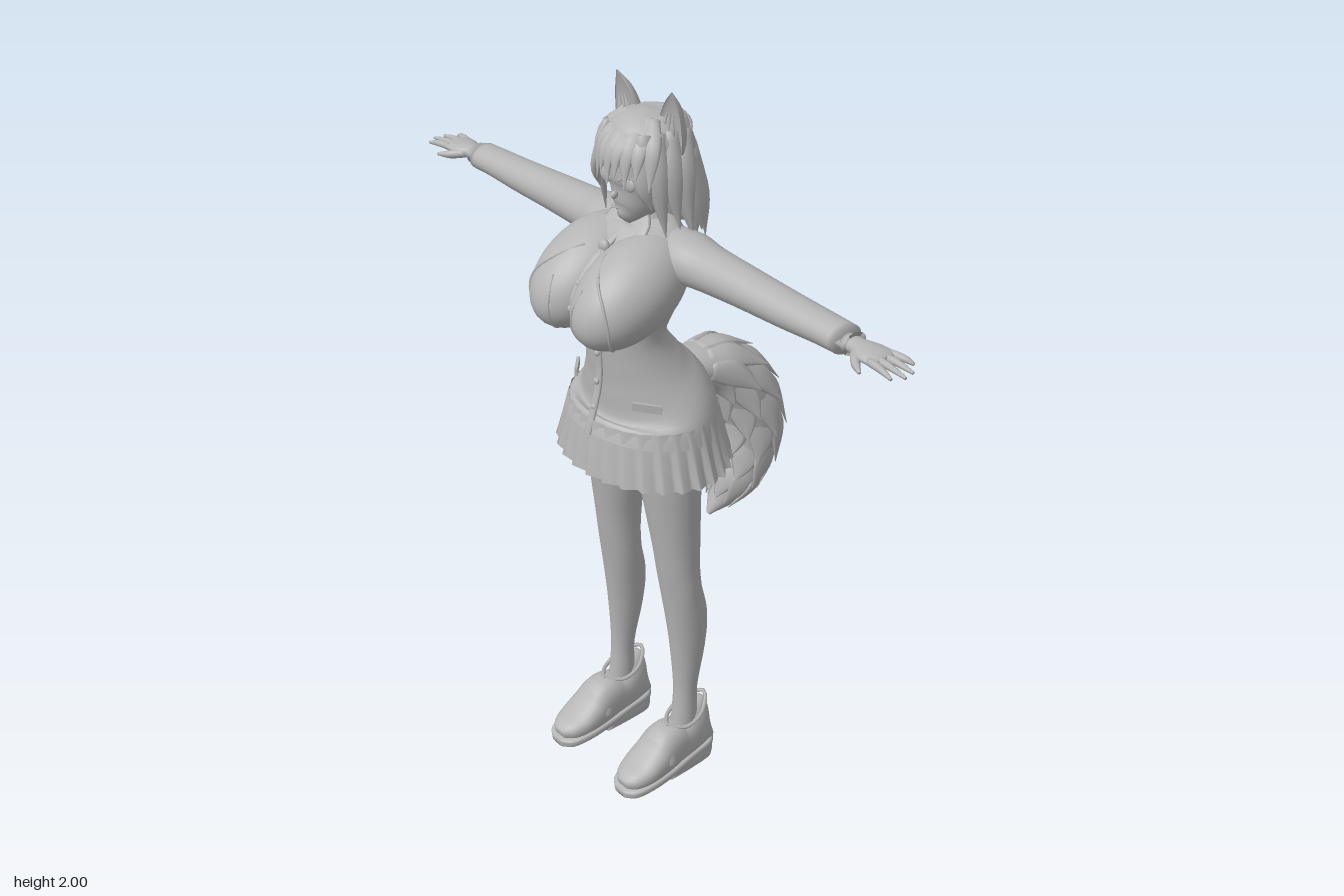
import * as THREE from 'three';

const V = (x, y, z) => new THREE.Vector3(x, y, z);
const grey = new THREE.MeshStandardMaterial({ color: 0xb4b4b4, side: THREE.DoubleSide });
grey.name = 'light grey';

// Smooth body through elliptical sections [x, y, z, halfWidth, halfDepth];
// half widths lie along "side". warp(angle, t) may scale both radii.
function loft(sections, { side = V(1, 0, 0), n = 24, steps = 4, cap = true, e = 2, warp } = {}) {
  const path = new THREE.CatmullRomCurve3(sections.map(s => V(s[0], s[1], s[2])), false, 'catmullrom');
  const radii = new THREE.CatmullRomCurve3(sections.map(s => V(s[3], s[4], 0)), false, 'catmullrom');
  const rows = (sections.length - 1) * steps, pos = [], idx = [];
  const pw = v => Math.sign(v) * Math.abs(v) ** (2 / e);
  for (let i = 0; i <= rows; i++) {
    const t = i / rows, c = path.getPoint(t), r = radii.getPoint(t), d = path.getTangent(t);
    const sd = side.clone().addScaledVector(d, -side.dot(d)).normalize(), up = d.clone().cross(sd);
    for (let j = 0; j < n; j++) {
      const a = j / n * Math.PI * 2, [ka, kb] = warp ? warp(a, t) : [1, 1];
      const p = c.clone().addScaledVector(sd, pw(Math.cos(a)) * Math.max(r.x, 0) * ka)
        .addScaledVector(up, pw(Math.sin(a)) * Math.max(r.y, 0) * kb);
      pos.push(p.x, p.y, p.z);
      if (i < rows) {
        const k = i * n + j, m = i * n + (j + 1) % n;
        idx.push(k, m, k + n, m, m + n, k + n);
      }
    }
  }
  if (cap) for (const [i, s] of [[0, 0], [rows, sections.length - 1]]) {
    const c = pos.length / 3;
    pos.push(...sections[s].slice(0, 3));
    for (let j = 0; j < n; j++) {
      const k = i * n + j, m = i * n + (j + 1) % n;
      idx.push(c, i ? k : m, i ? m : k);
    }
  }
  const g = new THREE.BufferGeometry();
  g.setAttribute('position', new THREE.Float32BufferAttribute(pos, 3));
  g.setIndex(idx);
  g.computeVertexNormals();
  return g;
}

function mirrored(geo) {
  const g = geo.clone().scale(-1, 1, 1), a = g.index.array;
  for (let i = 0; i < a.length; i += 3) [a[i], a[i + 1]] = [a[i + 1], a[i]];
  return g;
}

const tube = (pts, r) => new THREE.TubeGeometry(new THREE.CatmullRomCurve3(pts), 28, r, 5);
const ball = (x, y, z, a, b, c) => new THREE.SphereGeometry(1, 20, 14).scale(a, b, c).translate(x, y, z);
// Flat tapering lock of hair or fur
const lock = (p, q, r, side, w, th = 0.012) => loft(
  [[...p, w * 0.7, th], [...q, w, th], [...r, 0.001, 0.001]], { side, n: 8, steps: 5 });

export function createModel() {
  const model = new THREE.Group();
  const add = (name, geo, parent = model) => {
    const m = new THREE.Mesh(geo, grey);
    m.name = name;
    parent.add(m);
  };
  const pair = (name, geo, parent = model) => {
    add(name + 'Left', geo, parent);
    add(name + 'Right', mirrored(geo), parent);
  };
  const group = name => {
    const g = new THREE.Group();
    g.name = name;
    model.add(g);
    return g;
  };

  // Jacket, hips and pleated skirt
  add('jacket', loft([[0, 1.1, .095, .228, .185], [0, 1.17, .09, .208, .158], [0, 1.25, .117, .157, .123],
    [0, 1.32, .14, .125, .1], [0, 1.38, .15, .113, .092], [0, 1.45, .14, .13, .105], [0, 1.53, .115, .155, .11],
    [0, 1.6, .09, .165, .1], [0, 1.645, .08, .11, .075], [0, 1.67, .08, .05, .045]], { n: 40, cap: false }));
  add('hips', loft([[0, .97, .09, .06, .06], [0, 1.0, .09, .15, .1], [0, 1.06, .09, .19, .14], [0, 1.15, .09, .19, .14]]));
  const pleat = (a, t) => {
    const k = 1 + (0.02 + 0.06 * t) * ((a * 28 / (Math.PI * 2) + 1e-6) % 1 - 0.4);
    return [k, k];
  };
  add('skirt', loft([[0, 1.15, .095, .215, .175], [0, 1.07, .095, .237, .188], [0, 1, .095, .258, .2]],
    { n: 140, steps: 2, cap: false, warp: pleat }));

  // Bust, jacket edges, placket, buttons and pockets
  const chest = (u, v, lift = 0) => {
    const w = Math.sqrt(Math.max(0, 1 - u * u - v * v));
    return V(.08 + .115 * u, 1.52 + .12 * v - .05 * w, .2 + .165 * w + lift);
  };
  const bust = new THREE.SphereGeometry(1, 32, 24), bp = bust.attributes.position;
  for (let i = 0; i < bp.count; i++) {
    const x = bp.getX(i), y = bp.getY(i), z = bp.getZ(i);
    bp.setXYZ(i, .08 + .115 * x, 1.52 + .12 * y - .05 * z, .2 + .165 * z);
  }
  bust.computeVertexNormals();
  pair('bust', bust);
  pair('jacketEdge', tube([[-.35, .9], [.1, .75], [.45, .45], [.62, 0], [.55, -.45], [.3, -.8], [.1, -.95]]
    .map(p => chest(...p)), .004));
  pair('bustSeam', tube([[-.2, .6], [-.3, .2], [-.3, -.2], [-.2, -.6], [0, -.9]].map(p => chest(...p)), .0025));
  add('placket', loft([[0, 1.64, .165, .012, .006], [0, 1.575, .262, .012, .006], [0, 1.49, .318, .012, .006],
    [0, 1.43, .263, .012, .006], [0, 1.38, .243, .012, .006], [0, 1.25, .24, .012, .006], [0, 1.11, .28, .012, .006]],
  { n: 12 }));
  for (const [y, z] of [[1.6, .23], [1.54, .297], [1.48, .323], [1.42, .263], [1.33, .245], [1.25, .248], [1.18, .26]])
    add('button', ball(0, y, z, .009, .009, .006));
  pair('pocketFlap', new THREE.BoxGeometry(.075, .022, .008).rotateZ(-.1).rotateY(.75).translate(.14, 1.215, .2));
  pair('collar', loft([[.02, 1.675, .12, .03, .006], [.045, 1.645, .15, .035, .007], [.03, 1.6, .205, .004, .003]], { n: 10 }));
  add('collarBand', loft([[0, 1.625, .08, .075, .06], [0, 1.68, .075, .05, .046]], { cap: false }));
  add('brooch', ball(0, 1.615, .215, .018, .018, .012));

  // Sleeves, cuffs and hands
  const zSide = { side: V(0, 0, 1) };
  pair('sleeve', loft([[.08, 1.59, .07, .07, .06], [.15, 1.59, .07, .075, .064], [.22, 1.587, .068, .064, .057],
    [.35, 1.588, .07, .056, .05], [.5, 1.588, .073, .051, .043], [.62, 1.59, .075, .047, .037], [.685, 1.59, .077, .046, .035]], zSide));
  pair('cuff', loft([[.67, 1.59, .077, .038, .029], [.71, 1.59, .078, .037, .028]], { ...zSide, steps: 1 }));
  pair('hand', loft([[.69, 1.59, .08, .024, .02], [.725, 1.59, .08, .026, .019], [.76, 1.592, .083, .04, .017],
    [.795, 1.592, .083, .041, .014], [.81, 1.59, .083, .034, .009]], zSide));
  [[.052, .855], [.073, .88], [.094, .885], [.114, .868]].forEach(([z, x]) => pair('finger',
    loft([[.79, 1.592, z, .0095, .01], [.83, 1.592, z + (z - .083) * .2, .009, .009],
      [x, 1.585, z + (z - .083) * .4, .004, .004]], { ...zSide, n: 10 })));
  pair('thumb', loft([[.735, 1.588, .1, .012, .012], [.765, 1.583, .13, .011, .011], [.797, 1.58, .15, .004, .004]],
    { ...zSide, n: 10 }));

  // Legs
  pair('leg', loft([[.105, 1.06, .095, .098, .085], [.108, .98, .1, .09, .08], [.113, .88, .095, .08, .073],
    [.12, .76, .088, .067, .064], [.123, .68, .084, .062, .058], [.126, .6, .075, .06, .055], [.13, .5, .058, .053, .06],
    [.133, .4, .057, .044, .052], [.136, .27, .067, .033, .035], [.137, .18, .07, .034, .038], [.138, .1, .075, .035, .045]]));

  // Loafers
  const shoe = { n: 28, e: 2.5 };
  pair('shoeUpper', loft([[.142, .04, .302, .02, .014], [.142, .047, .28, .046, .026], [.141, .058, .235, .06, .037],
    [.14, .075, .185, .062, .054], [.139, .092, .14, .058, .072], [.138, .092, .09, .053, .065], [.137, .105, .045, .049, .073],
    [.137, .122, .01, .04, .082], [.137, .125, -.003, .024, .07]], shoe));
  pair('shoeSole', loft([[.142, .018, .312, .022, .012], [.142, .022, .29, .05, .014], [.141, .03, .24, .064, .015],
    [.14, .038, .17, .065, .015], [.138, .046, .08, .056, .015], [.137, .052, .015, .05, .015], [.137, .054, -.01, .034, .014]],
  { n: 28, e: 4 }));
  pair('shoeHeel', loft([[.139, .024, .165, .056, .02], [.138, .026, .09, .054, .026], [.137, .028, .02, .05, .028],
    [.137, .028, -.008, .032, .028]], { n: 28, e: 5 }));
  pair('shoeStrap', loft([[.079, .075, .17, .014, .006], [.098, .122, .165, .016, .007], [.14, .145, .163, .017, .008],
    [.182, .122, .165, .016, .007], [.201, .075, .17, .014, .006]], { ...zSide, n: 10 }));
  pair('shoeCollar', tube([V(.14, .165, .14), V(.178, .158, .1), V(.181, .18, .045), V(.137, .208, -.002),
    V(.093, .18, .045), V(.1, .158, .1), V(.14, .165, .14)], .006));

  // Head and face
  const head = group('head');
  add('neck', loft([[0, 1.6, .07, .046, .045], [0, 1.66, .077, .037, .038], [0, 1.73, .085, .037, .04]], { n: 18 }), head);
  add('face', loft([[0, 1.665, .152, .014, .022], [0, 1.69, .128, .048, .052], [0, 1.74, .1, .078, .08],
    [0, 1.8, .09, .09, .09], [0, 1.87, .085, .086, .085], [0, 1.91, .085, .05, .05]]), head);
  pair('eye', ball(.042, 1.775, .17, .022, .018, .007).rotateY(0), head);
  pair('eyelid', tube([V(.016, 1.78, .182), V(.04, 1.794, .178), V(.067, 1.784, .155)], .003), head);
  add('nose', ball(0, 1.738, .18, .007, .01, .01), head);
  add('mouth', tube([V(-.014, 1.709, .178), V(0, 1.707, .182), V(.014, 1.709, .178)], .002), head);

  // Hair shell, back locks, side locks and fringe
  const hair = group('hair');
  add('hairBack', loft([[0, 1.655, .005, .085, .045], [0, 1.7, .01, .103, .06], [0, 1.76, .022, .108, .07],
    [0, 1.82, .04, .109, .084], [0, 1.855, .068, .109, .109], [0, 1.895, .077, .093, .098],
    [0, 1.92, .08, .062, .067], [0, 1.932, .08, .012, .012]], { n: 32 }), hair);
  for (let k = -6; k <= 6; k++) {
    const a = k * .29, s = Math.sin(a), c = Math.cos(a), drop = .025 * Math.abs(k % 2);
    add('backLock', lock([s * .1, 1.84, .05 - c * .08], [s * .117, 1.72, .025 - c * .078],
      [s * .128, 1.615 + drop, .02 - c * .072], V(c, 0, s), .034), hair);
  }
  for (const [x, z, y] of [[.1, .12, 1.645], [.11, .085, 1.66], [.085, .15, 1.72], [.115, .05, 1.64]])
    pair('sideLock', lock([x * .8, 1.9, z - .01], [x * 1.04, 1.79, z + .01], [x * 1.14, y, z - .005], V(.4, 0, -.9), .026), hair);
  for (let k = -4; k <= 4; k++) {
    const x = k * .022, back = x * x * 6, end = 1.775 + .025 * Math.abs(k % 2);
    add('fringeLock', lock([x * .6, 1.922, .1], [x * 1.05, 1.868, .186 - back], [x * 1.15 + .008, end, .21 - back],
      V(1, 0, -x * 9), .022, .01), hair);
  }

  // Cupped animal ears with inner tufts
  const cup = a => [1, Math.sin(a) < 0 ? -.25 : 1];
  pair('ear', loft([[.075, 1.85, .07, .042, .04], [.08, 1.9, .073, .042, .038], [.09, 1.955, .078, .027, .026],
    [.1, 2, .085, .002, .002]], { n: 24, warp: cup }), head);
  for (const d of [-.016, 0, .016])
    pair('earTuft', lock([.078 + d, 1.88, .075], [.08 + d, 1.905, .08], [.088 + d * .6, 1.945, .08], V(1, 0, 0), .009, .004), head);

  // Bushy tail with overlapping tufts
  const tail = group('tail');
  const spine = [[0, 1.19, .0, .04, .035], [0, 1.185, -.07, .07, .05], [0, 1.145, -.17, .095, .075], [0, 1.06, -.235, .107, .09],
    [0, .95, -.268, .107, .085], [0, .84, -.255, .09, .074], [0, .75, -.205, .062, .052], [0, .682, -.135, .006, .006]];
  add('tailCore', loft(spine, { steps: 5 }), tail);
  const centre = new THREE.CatmullRomCurve3(spine.map(s => V(...s.slice(0, 3))), false, 'catmullrom');
  const size = new THREE.CatmullRomCurve3(spine.map(s => V(s[3], s[4], 0)), false, 'catmullrom');
  const onTail = (t, a, k) => {
    const d = centre.getTangent(t), r = size.getPoint(t);
    return centre.getPoint(t).add(V(Math.cos(a) * r.x * k, 0, 0))
      .addScaledVector(d.cross(V(1, 0, 0)), Math.sin(a) * r.y * k);
  };
  for (let i = 0; i < 6; i++) for (let j = 0; j < 8; j++) {
    const t = .16 + i * .115, a = (j + (i % 2) / 2) / 8 * Math.PI * 2;
    const p = onTail(t, a, .85), q = onTail(t + .09, a, .98), r = onTail(Math.min(t + .2, .95), a, 1.2);
    const side = V(-Math.sin(a), 0, 0).addScaledVector(centre.getTangent(t).cross(V(1, 0, 0)), Math.cos(a));
    add('tailTuft', lock(p.toArray(), q.toArray(), r.toArray(), side, .036, .01), tail);
  }
  return model;
}
